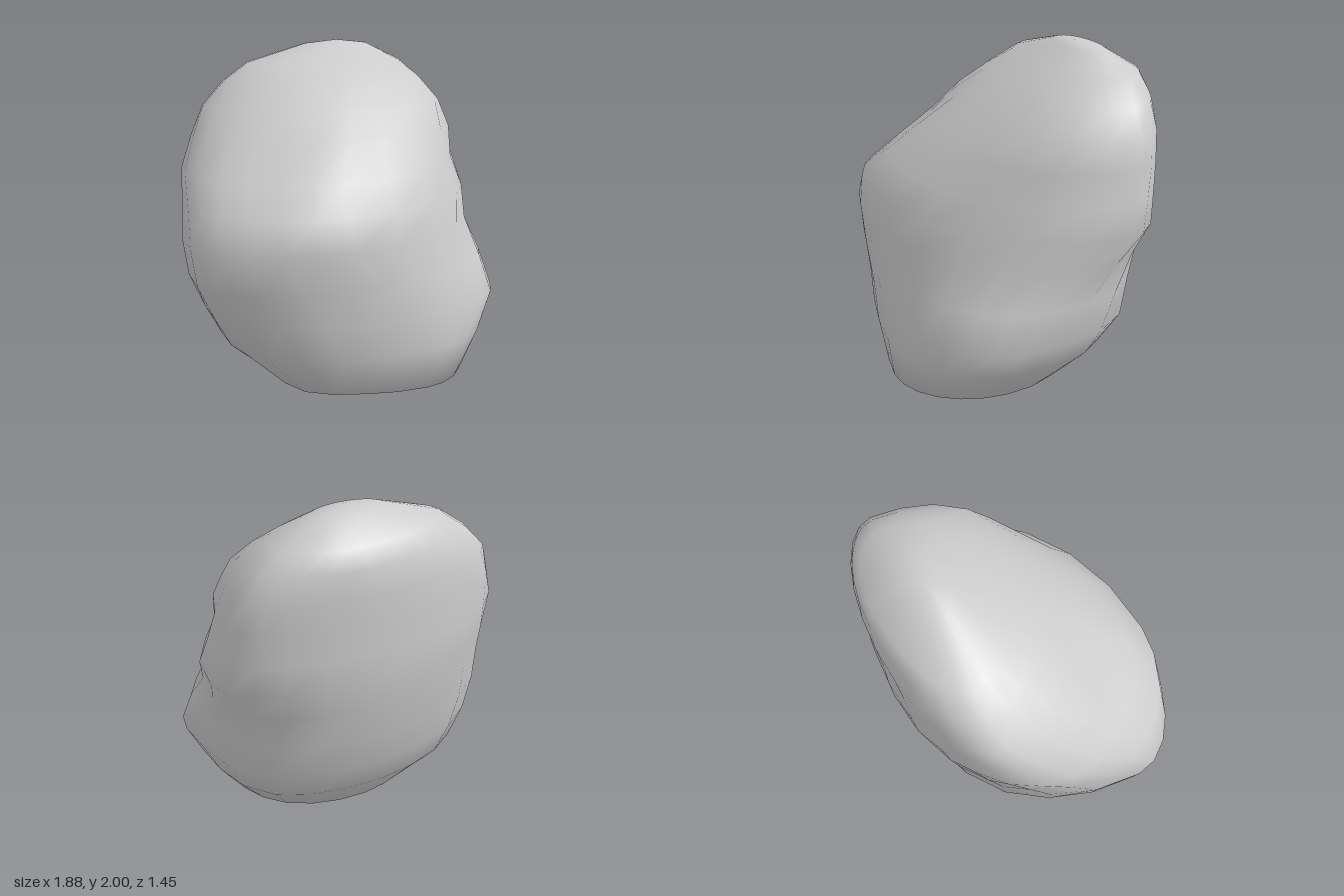
import * as THREE from 'three';
import { mergeVertices } from 'three/addons/utils/BufferGeometryUtils.js';

// Cross-sections: y, then the (x, z) of the left-, right-, front- and rearmost points
const RINGS = [
  [0, 0.07, 0, 0.07, 0, 0.07, 0, 0.07, 0],
  [0.03, -0.1, 0.05, 0.2, 0.08, 0.08, 0.17, 0.05, -0.11],
  [0.08, -0.22, 0.08, 0.43, 0.12, 0.15, 0.36, 0.05, -0.19],
  [0.2, -0.44, 0.15, 0.64, 0.2, 0.22, 0.71, 0.05, -0.35],
  [0.42, -0.7, 0.2, 0.79, 0.22, 0.2, 0.73, 0.05, -0.53],
  [0.6, -0.81, 0.25, 0.88, 0.24, 0.1, 0.715, 0.05, -0.6],
  [0.8, -0.91, 0.28, 0.86, 0.1, -0.05, 0.71, 0.05, -0.66],
  [1.0, -0.94, 0.28, 0.86, -0.15, -0.2, 0.7, 0.06, -0.7],
  [1.17, -0.89, 0.1, 0.93, -0.31, -0.25, 0.68, 0.04, -0.72],
  [1.33, -0.84, -0.1, 0.9, -0.36, -0.2, 0.55, 0.06, -0.72],
  [1.5, -0.74, -0.25, 0.87, -0.4, -0.1, 0.38, 0.1, -0.71],
  [1.65, -0.64, -0.36, 0.83, -0.42, 0, 0.2, 0.15, -0.71],
  [1.78, -0.5, -0.4, 0.74, -0.43, 0.1, 0.04, 0.22, -0.69],
  [1.88, -0.35, -0.4, 0.62, -0.42, 0.15, -0.12, 0.28, -0.65],
  [1.98, 0, -0.38, 0.4, -0.4, 0.18, -0.29, 0.25, -0.49],
  [2.0, 0.2, -0.37, 0.2, -0.37, 0.2, -0.37, 0.2, -0.37],
];
const SEGMENTS = 24;

// Soft bulges and hollows: centre, push, radius
const LUMPS = [
  { at: [0.68, 0.6, -0.32], push: [0.08, 0, -0.08], r: 0.38 }, // lower right rear bulge
  { at: [-0.45, 0.25, 0.5], push: [-0.06, 0, 0.06], r: 0.25 }, // lower left front bulge
  { at: [-0.55, 0.45, -0.35], push: [-0.05, 0, -0.05], r: 0.35 }, // lower left rear bulge
  { at: [0.6, 1.6, 0.02], push: [0.05, 0, 0.04], r: 0.22 }, // upper right shoulder
  { at: [0.72, 1.3, 0.15], push: [-0.03, 0, -0.02], r: 0.2 }, // right hollow
  { at: [-0.5, 1.42, 0.32], push: [0.02, -0.03, -0.04], r: 0.22 }, // hollow above left ledge
].map(({ at, push, r }) => ({ at: new THREE.Vector3(...at), push: new THREE.Vector3(...push), r }));

// Four quarter-ellipses joined through the extreme points of a ring
function ringPoint([y, xl, zl, xr, zr, xf, zf, xb, zb], t) {
  const c = Math.cos(t), s = Math.sin(t);
  const [sx, sz] = c >= 0 ? [xr, zr] : [xl, zl];
  const [ex, ez] = s >= 0 ? [xf, zf] : [xb, zb];
  return new THREE.Vector3(ex + (sx - ex) * Math.abs(c), y, sz + (ez - sz) * Math.abs(s));
}

function rockGeometry() {
  const positions = [], index = [];
  for (const ring of RINGS) {
    for (let j = 0; j < SEGMENTS; j++) {
      const base = ringPoint(ring, (j / SEGMENTS) * Math.PI * 2);
      const p = base.clone();
      for (const { at, push, r } of LUMPS) {
        p.addScaledVector(push, Math.exp(-base.distanceToSquared(at) / (r * r)));
      }
      positions.push(p.x, p.y, p.z);
    }
  }
  // Skin between rings, with single triangles at the poles
  const last = RINGS.length - 2;
  for (let i = 0; i <= last; i++) {
    for (let j = 0; j < SEGMENTS; j++) {
      const a = i * SEGMENTS + j, b = i * SEGMENTS + ((j + 1) % SEGMENTS);
      const c = a + SEGMENTS, d = b + SEGMENTS;
      if (i > 0) index.push(a, c, b);
      if (i < last) index.push(b, c, d);
    }
  }
  const geometry = new THREE.BufferGeometry();
  geometry.setAttribute('position', new THREE.Float32BufferAttribute(positions, 3));
  geometry.setIndex(index);
  // Weld the poles so the shading stays smooth
  const welded = mergeVertices(geometry, 1e-4);
  welded.computeVertexNormals();
  return welded;
}

export function createModel() {
  const group = new THREE.Group();
  group.name = 'rock';
  const boulder = new THREE.Mesh(rockGeometry(), new THREE.MeshStandardMaterial({ color: 0xcccccc }));
  boulder.name = 'boulder';
  group.add(boulder);
  return group;
}
